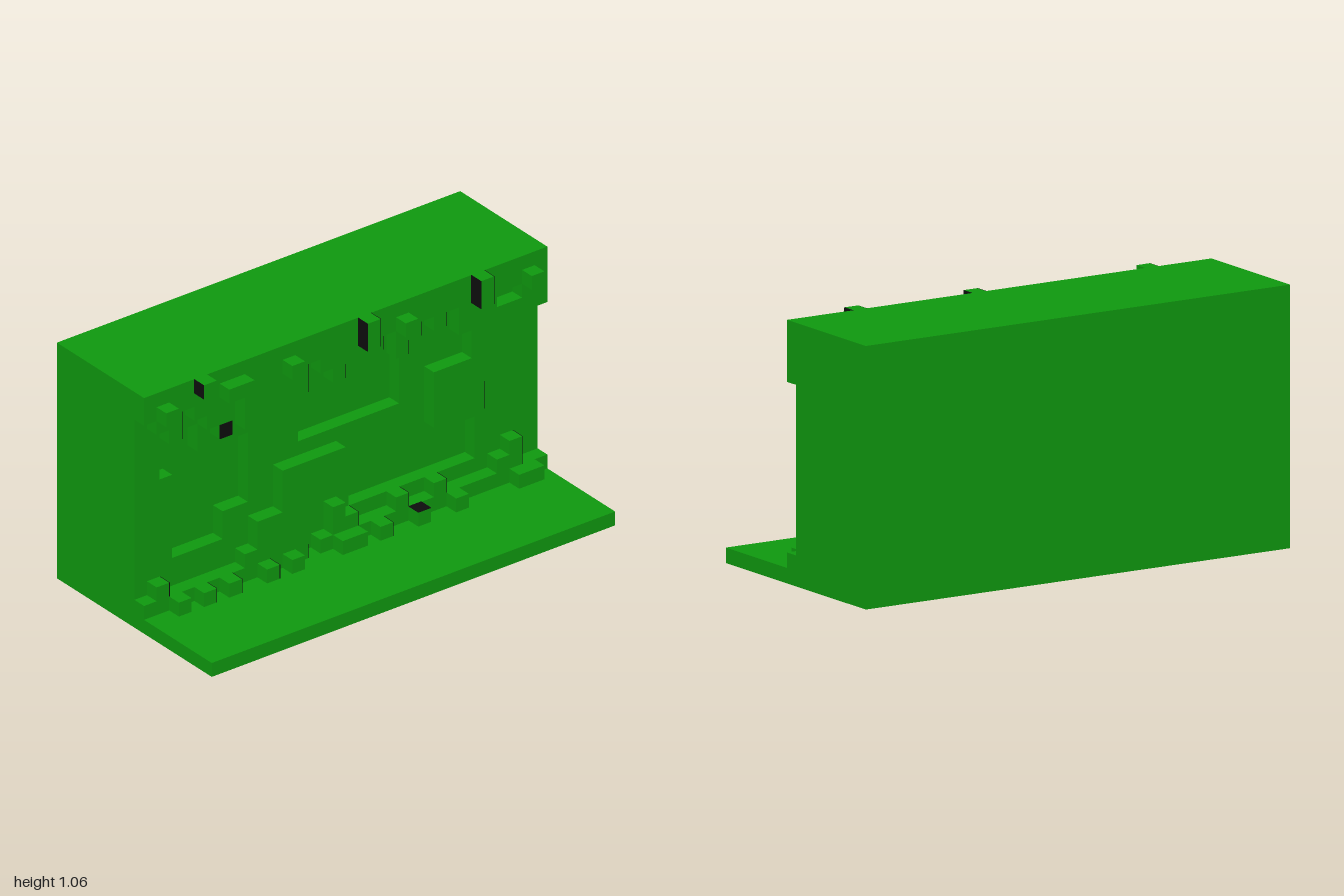
import * as THREE from 'three';

const U = 1 / 16; // one block

export function createModel() {
  const group = new THREE.Group();
  const green = new THREE.MeshStandardMaterial({ color: 0x0f980f });
  green.name = 'green';
  const black = new THREE.MeshStandardMaterial({ color: 0x0d0d0d });
  black.name = 'black';

  const add = (name, geometry, material = green) => {
    const mesh = new THREE.Mesh(geometry, material);
    mesh.name = name;
    group.add(mesh);
    return mesh;
  };

  // Box from block coordinates: x 0..32, y 0..17, z -8..8
  const box = (name, [x0, x1], [y0, y1], [z0, z1], material) => {
    const g = new THREE.BoxGeometry((x1 - x0) * U, (y1 - y0) * U, (z1 - z0) * U);
    g.translate(((x0 + x1) / 2 - 16) * U, (y0 + y1) / 2 * U, (z0 + z1) / 2 * U);
    return add(name, g, material);
  };

  const points = (list) => list.map(([x, y]) => new THREE.Vector2((x - 16) * U, y * U));

  // Slab one block thick with polygon holes
  const slab = (name, outline, holes, z) => {
    const shape = new THREE.Shape(points(outline));
    holes.forEach((h) => shape.holes.push(new THREE.Path(points(h))));
    const g = new THREE.ExtrudeGeometry(shape, { depth: U, bevelEnabled: false });
    g.translate(0, 0, z * U);
    add(name, g);
  };

  // Stepped outline from one height per column, closed along a straight edge
  const stepped = (heights, edge) => {
    const out = [[0, edge]];
    heights.forEach((h, i) => {
      if (h !== heights[i - 1]) out.push([i, h]);
      if (h !== heights[i + 1]) out.push([i + 1, h]);
    });
    out.push([32, edge]);
    return out;
  };

  // Floor, back mass and the wall with three sunken pockets
  box('floor', [0, 32], [0, 1], [-8, 8]);
  box('backWall', [0, 32], [1, 17], [-8, -1]);
  slab('pocketWall', [[0, 1], [32, 1], [32, 17], [0, 17]], [
    [[3, 4], [7, 4], [7, 6], [9, 6], [9, 11], [5, 11], [5, 13], [2, 13], [2, 10], [3, 10]],
    [[13, 9], [21, 9], [21, 13], [13, 13]],
    [[17, 3], [27, 3], [27, 6], [17, 6]],
  ], -1);

  // Jagged overhang along the top, with a small dent
  const overhang = [15, 14, 13, 15, 14, 13, 12, 15, 12, 12, 12, 12, 13, 15, 14, 13,
    14, 14, 14, 15, 13, 14, 15, 14, 15, 13, 7, 9, 9, 9, 9, 13];
  slab('overhang', stepped(overhang, 17), [[[28, 14], [30, 14], [30, 15], [28, 15]]], 0);
  box('rightPanel', [23, 26], [7, 11], [0, 1]);

  // Jagged footing along the floor
  const footing = [2, 3, 2, 2, 2, 2, 2, 2, 3, 5, 5, 8, 8, 1.001, 2, 4,
    3, 2, 2, 2, 3, 2, 2, 3, 2, 2, 2, 2, 3, 4, 2, 2];
  slab('footing', stepped(footing, 1), [], 0);
  box('centrePanel', [13, 16], [5, 8], [0, 1]);

  // Small blocks standing out from the overhang and footing: x0, x1, y0, y1
  const topBlocks = [[1, 2, 15, 16], [4, 5, 16, 17], [6, 8, 15, 16], [11, 12, 15, 16],
    [17, 18, 15, 17], [20, 21, 15, 16], [26, 27, 15, 17], [30, 31, 15, 16]];
  topBlocks.forEach(([a, b, c, d]) => box('topBlock', [a, b], [c, d], [1, 2]));
  const lowBlocks = [[2, 3], [4, 5], [6, 7], [9, 10], [11, 12], [15, 17], [18, 19],
    [21, 22], [24, 25], [29, 31]];
  lowBlocks.forEach(([a, b]) => box('lowBlock', [a, b], [1, 2], [1, 2]));

  // Black side faces: x, y0, y1, z0
  const t = 0.04;
  const sides = [[3, 13, 15, 0], [13, 13, 15, 0], [16, 13, 14, 0], [19, 14, 15, 0],
    [21, 13, 14, 0], [22, 14, 15, 0], [24, 14, 15, 0], [27, 7, 9, 0], [2, 2, 3, 0],
    [13, 1, 2, 0], [17, 2, 3, 0], [21, 2, 3, 0], [24, 2, 3, 0], [30, 2, 4, 0],
    [18, 15, 17, 1], [27, 15, 17, 1], [5, 1, 2, 1], [7, 1, 2, 1], [10, 1, 2, 1], [19, 1, 2, 1]];
  sides.forEach(([x, c, d, z]) => box('blackSide', [x, x + t], [c, d], [z, z + 1], black));
  [[4, 16], [17, 15], [26, 15]].forEach(([x, y]) =>
    box('blackSide', [x - t, x], [y, 17], [1, 2], black));
  // Black front and top faces
  box('blackFront', [6, 7], [12, 13], [1, 1 + t], black);
  box('blackTop', [21, 22], [2, 2 + t], [1, 2], black);

  return group;
}
